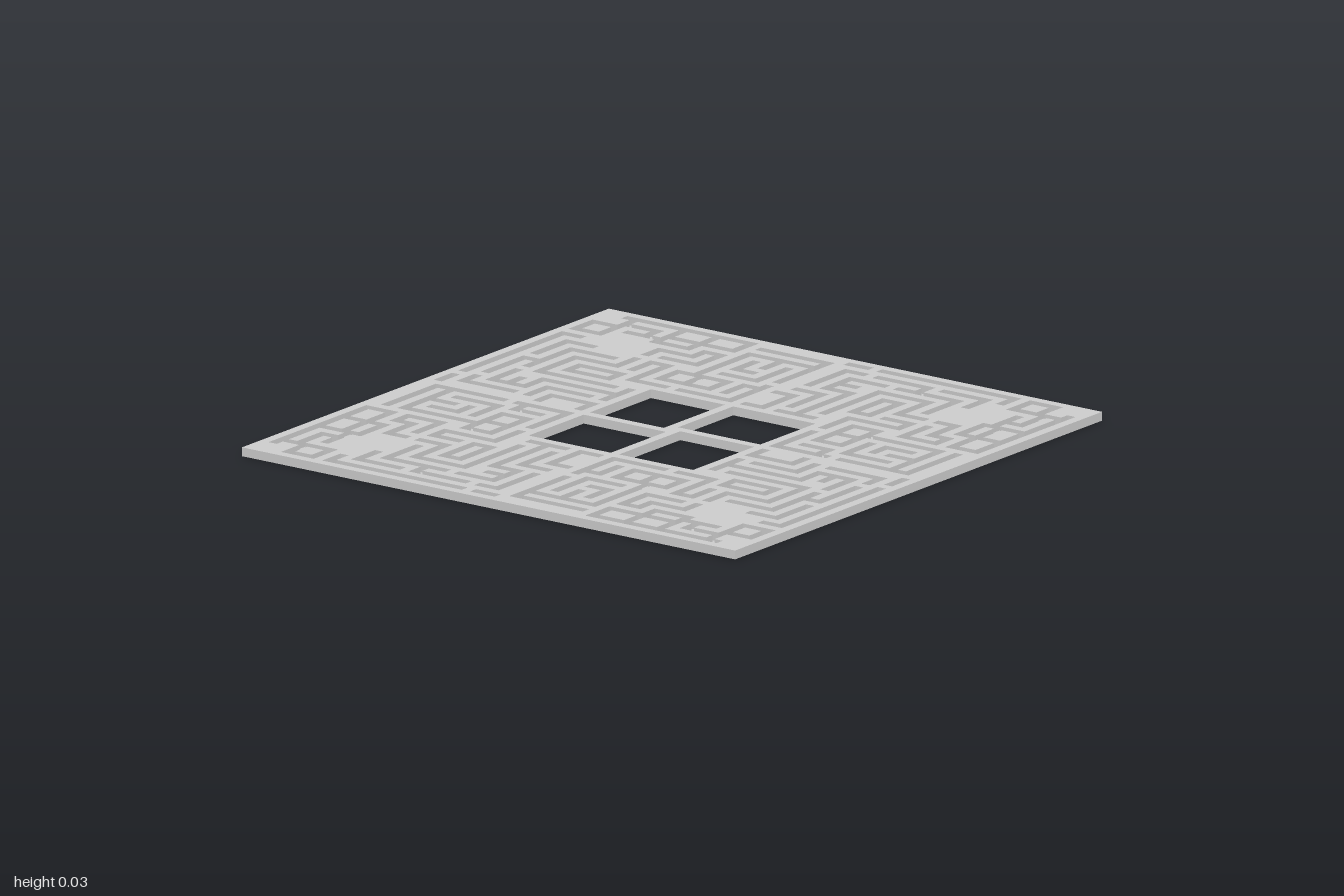
import * as THREE from 'three';

const N = 60;            // grid cells per side
const U = 2 / N;         // cell size
const TOP = 0.03;        // plate height
const FLOOR = 0;         // groove floor height
const VOID = 0, HIGH = 1, LOW = 2;

// Groove centre lines of one quadrant, as polylines of column, row pairs.
const cornerGrooves = [
  [3, 1, 18, 1, 18, 4, 10, 4, 10, 1], [14, 1, 14, 6, 10, 6, 10, 4],
  [1, 4, 4, 4, 4, 7, 1, 7, 1, 4], [3, 1, 4, 1, 4, 4], [4, 3, 8, 3, 8, 5], [6, 5, 9, 5],
  [18, 6, 16, 6, 16, 8, 12, 8, 12, 10], [18, 6, 18, 10, 14, 10],
];
const edgeGrooves = [
  [20, 2, 28, 2, 28, 10], [28, 4, 20, 4, 20, 12], [22, 6, 22, 9, 24, 9], [24, 4, 24, 7],
  [26, 6, 26, 11, 22, 11], [18, 13, 24, 13, 24, 16, 18, 16, 18, 13], [21, 13, 21, 16],
  [26, 16, 26, 13, 28, 13], [28, 12, 28, 18, 22, 18],
  [12, 15, 12, 12], [14, 15, 14, 12, 16, 12, 16, 18, 20, 18],
];
const sideGrooves = [
  [3, 9, 1, 9, 1, 25], [6, 11, 3, 11, 3, 16], [10, 13, 5, 13, 5, 20],
  [12, 15, 7, 15, 7, 21, 16, 21], [9, 17, 14, 17, 14, 19, 9, 19, 9, 17],
  [5, 18, 3, 18, 3, 24], [5, 22, 5, 26, 9, 26], [7, 24, 7, 26],
  [9, 25, 9, 23, 18, 23], [18, 21, 18, 25], [16, 25, 11, 25, 11, 28],
  [3, 26, 3, 28, 9, 28], [1, 27, 1, 29], [13, 29, 13, 27, 18, 27, 18, 29],
];

// Grid of cell types with the quadrant repeated by quarter turns.
function makeGrid() {
  const grid = Array.from({ length: N }, () => new Array(N).fill(HIGH));
  const set = (c, r, type) => {
    for (let k = 0; k < 4; k++) {
      grid[r][c] = type;
      [c, r] = [N - 1 - r, c];
    }
  };
  // central opening, crossed by four narrow arms
  for (let r = 20; r < 30; r++) for (let c = 20; c < 29; c++) set(c, r, VOID);
  for (const line of [...cornerGrooves, ...edgeGrooves, ...sideGrooves]) {
    for (let i = 0; i + 3 < line.length; i += 2) {
      const [c0, r0, c1, r1] = line.slice(i, i + 4);
      const steps = Math.max(Math.abs(c1 - c0), Math.abs(r1 - r0));
      for (let s = 0; s <= steps; s++) {
        set(c0 + Math.sign(c1 - c0) * s, r0 + Math.sign(r1 - r0) * s, LOW);
      }
    }
  }
  return grid;
}

function addQuad(list, a, b, c, d) {
  list.push(...a, ...b, ...c, ...a, ...c, ...d);
}

// Level faces of one cell type, merged along each row.
function levelFaces(grid, type, y) {
  const list = [];
  const at = (i) => (i - N / 2) * U;
  for (let r = 0; r < N; r++) {
    for (let c = 0; c < N; c++) {
      if (grid[r][c] !== type) continue;
      const start = c;
      while (c + 1 < N && grid[r][c + 1] === type) c++;
      const x0 = at(start), x1 = at(c + 1), z0 = at(r), z1 = at(r + 1);
      addQuad(list, [x0, y, z0], [x0, y, z1], [x1, y, z1], [x1, y, z0]);
    }
  }
  return list;
}

// Upright faces wherever a high cell meets a groove, an opening or the outside.
function stepFaces(grid, neighbour) {
  const list = [];
  for (let r = 0; r < N; r++) {
    for (let c = 0; c < N; c++) {
      if (grid[r][c] !== HIGH) continue;
      for (const [dx, dz] of [[1, 0], [-1, 0], [0, 1], [0, -1]]) {
        if ((grid[r + dz]?.[c + dx] ?? VOID) !== neighbour) continue;
        const bottom = neighbour === LOW ? FLOOR : 0;
        const x = (c + 0.5 - N / 2 + dx / 2) * U, z = (r + 0.5 - N / 2 + dz / 2) * U;
        const tx = dz * U / 2, tz = -dx * U / 2;
        addQuad(list, [x - tx, bottom, z - tz], [x + tx, bottom, z + tz],
          [x + tx, TOP, z + tz], [x - tx, TOP, z - tz]);
      }
    }
  }
  return list;
}

export function createModel() {
  const group = new THREE.Group();
  group.name = 'mazePanel';
  const material = new THREE.MeshStandardMaterial({
    color: 0xcccccc, flatShading: true, side: THREE.DoubleSide,
  });
  const grid = makeGrid();
  const add = (name, list) => {
    const geometry = new THREE.BufferGeometry();
    geometry.setAttribute('position', new THREE.Float32BufferAttribute(list, 3));
    geometry.computeVertexNormals();
    const mesh = new THREE.Mesh(geometry, material);
    mesh.name = name;
    group.add(mesh);
  };
  add('plateTop', levelFaces(grid, HIGH, TOP));
  add('grooveFloors', levelFaces(grid, LOW, FLOOR));
  add('grooveWalls', stepFaces(grid, LOW));
  add('plateEdges', stepFaces(grid, VOID));
  return group;
}
